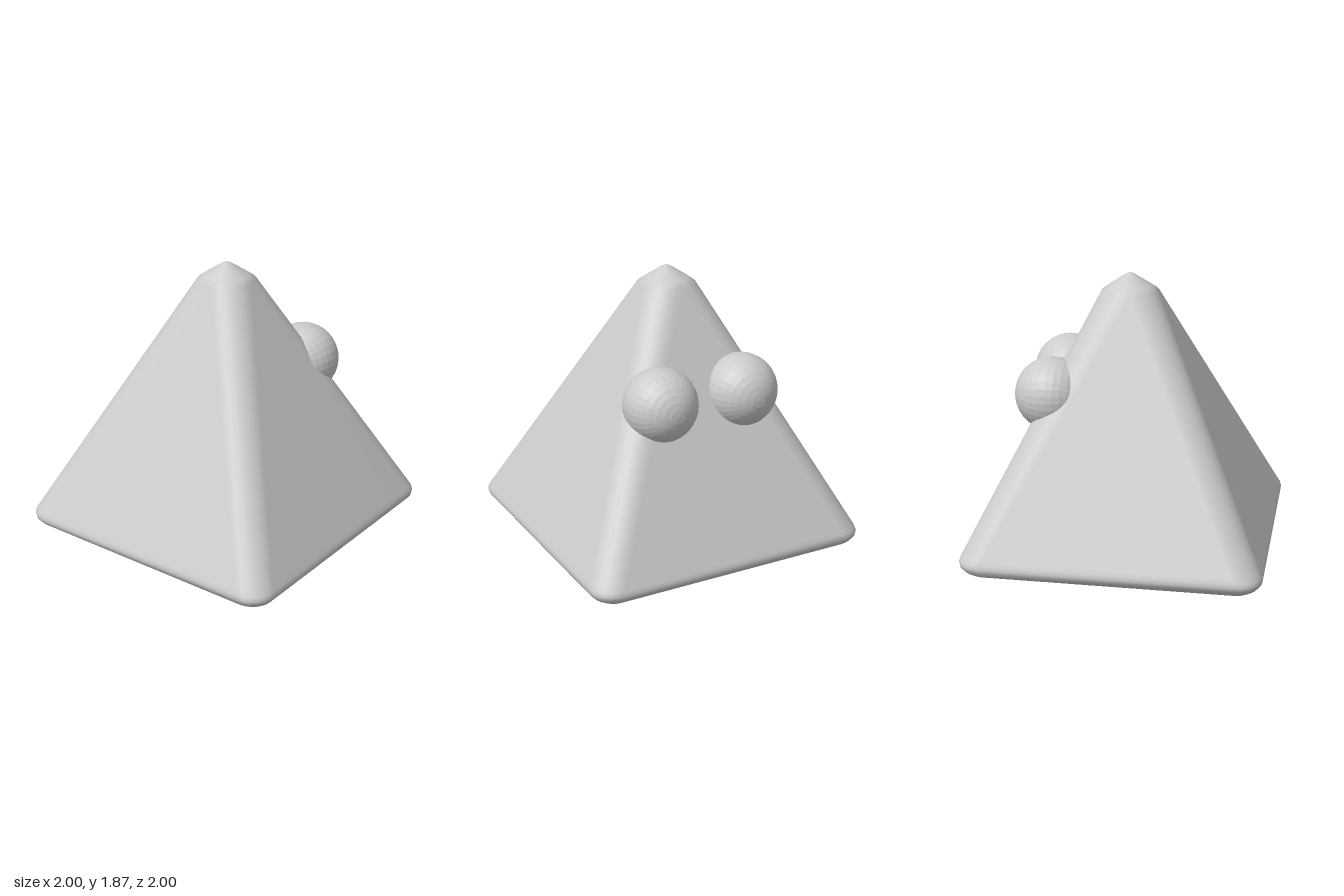
import * as THREE from 'three';

// Closed skin over stacked rounded squares: [y, half width, corner radius]
function roundedSquareLoft(rows, steps) {
  const pos = [], idx = [], n = 4 * (steps + 1);
  for (const [y, h, r] of rows) {
    for (let c = 0; c < 4; c++) {
      const mid = (c + 0.5) * Math.PI / 2;
      const cx = Math.sign(Math.cos(mid)) * (h - r), cz = Math.sign(Math.sin(mid)) * (h - r);
      for (let s = 0; s <= steps; s++) {
        const a = (c + s / steps) * Math.PI / 2;
        pos.push(cx + r * Math.cos(a), y, cz + r * Math.sin(a));
      }
    }
  }
  for (let k = 0; k < rows.length - 1; k++) {
    for (let i = 0; i < n; i++) {
      const j = (i + 1) % n, a = k * n + i, b = k * n + j;
      idx.push(a, a + n, b, b, a + n, b + n);
    }
  }
  // Cap centres
  const bottom = pos.length / 3, top = bottom + 1, last = (rows.length - 1) * n;
  pos.push(0, rows[0][0], 0, 0, rows[rows.length - 1][0], 0);
  for (let i = 0; i < n; i++) {
    const j = (i + 1) % n;
    idx.push(bottom, i, j, top, last + j, last + i);
  }
  const geo = new THREE.BufferGeometry();
  geo.setAttribute('position', new THREE.Float32BufferAttribute(pos, 3));
  geo.setIndex(idx);
  geo.computeVertexNormals();
  return geo;
}

export function createModel() {
  const group = new THREE.Group();

  // Pyramid with softened base rim, ridges and tip
  const body = new THREE.Mesh(
    roundedSquareLoft([
      [0, 0.89, 0.07], [0.012, 0.935, 0.11], [0.035, 0.97, 0.14], [0.065, 0.995, 0.16],
      [0.09, 1, 0.165], [0.115, 0.993, 0.165], [0.14, 0.98, 0.165],
      [1.75, 0.19, 0.17], [1.785, 0.145, 0.14], [1.825, 0.085, 0.085],
      [1.858, 0.035, 0.035], [1.87, 0.008, 0.008],
    ], 6),
    new THREE.MeshStandardMaterial({ color: 0xcccccc }));
  body.name = 'pyramidBody';
  group.add(body);

  // Two faceted balls half sunk into the +x face
  const ballGeo = new THREE.SphereGeometry(0.248, 32, 16).rotateZ(-Math.PI / 2);
  const ballMat = new THREE.MeshStandardMaterial({ color: 0xcccccc, flatShading: true });
  for (const side of [1, -1]) {
    const eye = new THREE.Mesh(ballGeo, ballMat);
    eye.name = side > 0 ? 'frontEye' : 'backEye';
    eye.position.set(0.478, 1.095, side * 0.3);
    group.add(eye);
  }
  return group;
}
